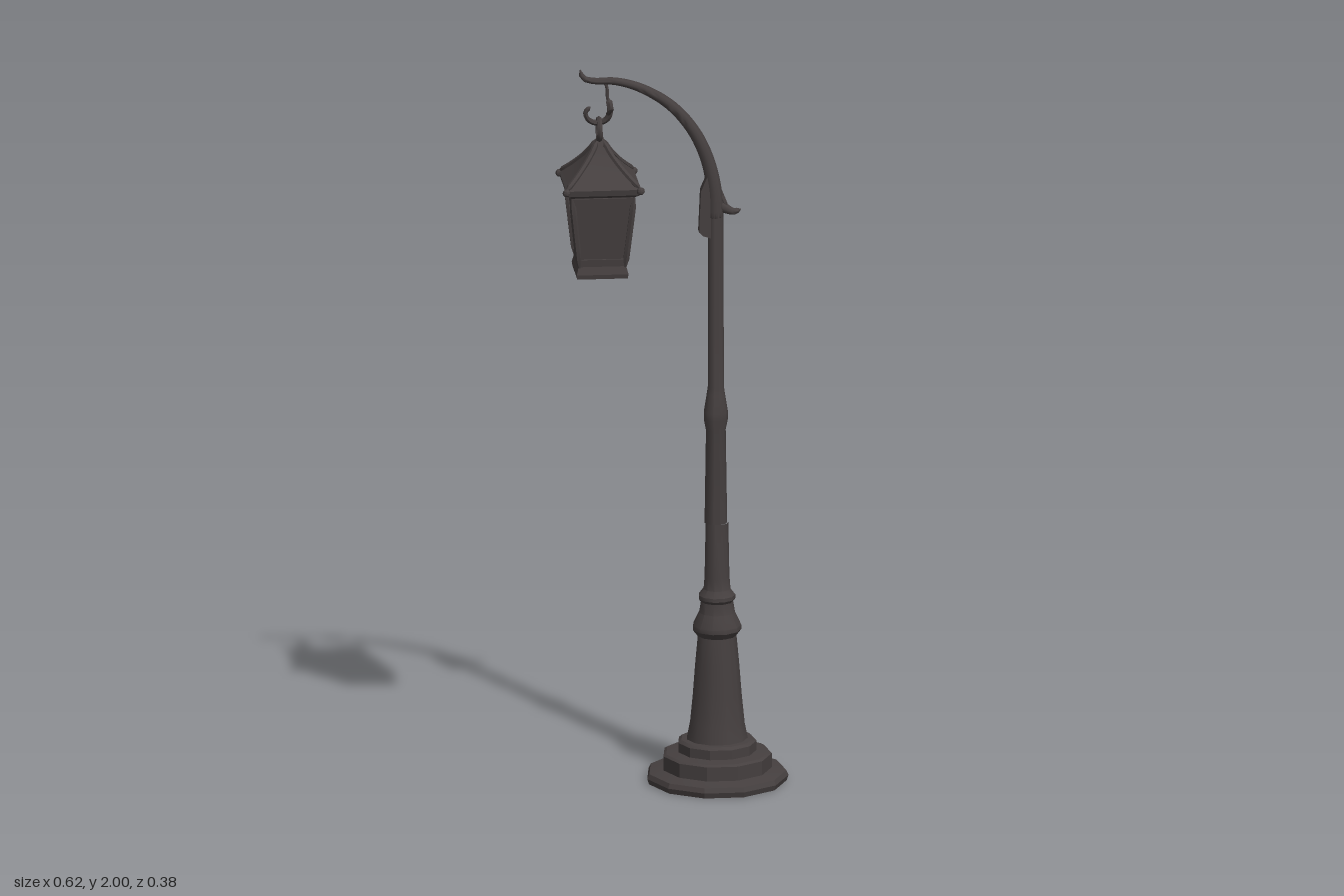
import * as THREE from 'three';
import { toCreasedNormals } from 'three/addons/utils/BufferGeometryUtils.js';

const iron = new THREE.MeshStandardMaterial({ color: 0x453f3f });
iron.name = 'dark iron';

const V = (x, y, z = 0) => new THREE.Vector3(x, y, z);

function add(parent, name, geometry, crease = 0.4) {
  const mesh = new THREE.Mesh(toCreasedNormals(geometry, crease), iron);
  mesh.name = name;
  parent.add(mesh);
  return mesh;
}

// Solid of revolution with a visible number of sides
function turned(profile, sides, start = 0) {
  return new THREE.LatheGeometry(profile.map(([r, y]) => new THREE.Vector2(r, y)), sides, start);
}

// Tube along a curve whose radius follows radiusAt(t); ends are pinched closed
function taperedTube(points, radiusAt, segments = 16, sides = 8) {
  const curve = new THREE.CatmullRomCurve3(points);
  const geo = new THREE.TubeGeometry(curve, segments, 1, sides);
  const pos = geo.attributes.position;
  const p = new THREE.Vector3();
  for (let i = 0; i <= segments; i++) {
    const t = i / segments;
    const c = curve.getPointAt(t);
    const r = i === 0 || i === segments ? 0.0008 : radiusAt(t);
    for (let j = 0; j <= sides; j++) {
      const k = i * (sides + 1) + j;
      p.fromBufferAttribute(pos, k).sub(c).multiplyScalar(r).add(c);
      pos.setXYZ(k, p.x, p.y, p.z);
    }
  }
  return geo;
}

function createPost() {
  const post = new THREE.Group();
  post.name = 'post';
  post.position.x = 0.115;
  // Stepped foot
  add(post, 'foot', turned([
    [0, 0], [0.188, 0], [0.193, 0.015], [0.187, 0.028], [0.148, 0.036],
    [0.148, 0.075], [0.14, 0.08], [0.107, 0.084], [0.107, 0.11], [0.098, 0.117], [0.075, 0.119],
  ], 11, 0.3));
  // Flared pedestal with collars
  add(post, 'pedestal', turned([
    [0.084, 0.115], [0.075, 0.16], [0.067, 0.24], [0.06, 0.33], [0.053, 0.405],
    [0.066, 0.422], [0.066, 0.434], [0.049, 0.47], [0.044, 0.5], [0.05, 0.508],
    [0.05, 0.518], [0.037, 0.535], [0.034, 0.57], [0.031, 0.72],
  ], 11, 0.3), 0.6);
  // Slim shaft with a middle collar
  const shaft = add(post, 'shaft', turned([
    [0.031, 0.72], [0.027, 0.98], [0.033, 1.01], [0.033, 1.03], [0.025, 1.08],
    [0.022, 1.1], [0.021, 1.62],
  ], 11, 0.3), 0.7);
  shaft.position.x = -0.003;
  return post;
}

function createArm() {
  const arm = new THREE.Group();
  arm.name = 'arm';
  // Curved neck ending in an upturned tip
  add(arm, 'curvedNeck', taperedTube([
    V(0.112, 1.56), V(0.108, 1.65), V(0.088, 1.74), V(0.05, 1.82), V(-0.01, 1.89),
    V(-0.09, 1.94), V(-0.16, 1.961), V(-0.215, 1.963), V(-0.246, 1.972), V(-0.254, 1.996),
  ], (t) => 0.022 - 0.015 * t ** 1.3, 40, 10), 1);
  // Back plate on the lantern side
  const plate = new THREE.Shape([
    [0.066, 1.535], [0.076, 1.525], [0.105, 1.515], [0.12, 1.6],
    [0.105, 1.7], [0.088, 1.69], [0.071, 1.65],
  ].map(([x, y]) => new THREE.Vector2(x, y)));
  const plateGeo = new THREE.ExtrudeGeometry(plate, { depth: 0.03, bevelEnabled: false });
  plateGeo.translate(0, 0, -0.015);
  add(arm, 'bracketPlate', plateGeo);
  // Small spur on the other side
  add(arm, 'spur', taperedTube([
    V(0.115, 1.61), V(0.138, 1.597), V(0.16, 1.588), V(0.18, 1.594),
  ], (t) => 0.018 - 0.012 * t, 8, 8), 1);
  add(arm, 'spurLeaf', taperedTube([
    V(0.118, 1.655), V(0.128, 1.63), V(0.14, 1.6),
  ], () => 0.009, 6, 6), 1);
  return arm;
}

function createHook() {
  const hook = new THREE.Group();
  hook.name = 'hook';
  add(hook, 'hangingWire', taperedTube([
    V(-0.19, 1.965), V(-0.182, 1.945), V(-0.18, 1.915), V(-0.176, 1.9),
  ], () => 0.005, 8, 6), 1);
  // Open hook
  add(hook, 'openHook', taperedTube([
    V(-0.178, 1.915, 0.008), V(-0.174, 1.885, 0.012), V(-0.182, 1.858, 0.006), V(-0.207, 1.846),
    V(-0.232, 1.857, 0.008), V(-0.241, 1.88, 0.014), V(-0.228, 1.897, 0.018),
  ], (t) => 0.01 - 0.004 * t, 20, 6), 1);
  add(hook, 'hookBarb', taperedTube([
    V(-0.18, 1.87, 0.008), V(-0.175, 1.885, 0.026), V(-0.168, 1.896, 0.046),
  ], (t) => 0.008 - 0.005 * t, 6, 6), 1);
  // Ring that carries the lantern
  const ring = add(hook, 'ring', new THREE.TorusGeometry(0.028, 0.0075, 6, 14), 1);
  ring.rotation.y = Math.PI / 2;
  ring.position.set(-0.203, 1.828, 0);
  return hook;
}

// Four-sided solid from [half width, height] pairs
function square(profile) {
  return turned(profile.map(([h, y]) => [h * Math.SQRT2, y]), 4, Math.PI / 4);
}

function createLantern() {
  const lantern = new THREE.Group();
  lantern.name = 'lantern';
  lantern.position.x = -0.2;
  // Stem and concave roof
  const stem = add(lantern, 'stem', new THREE.CylinderGeometry(0.007, 0.012, 0.05, 8), 1);
  stem.position.y = 1.795;
  add(lantern, 'roof', square([
    [0, 1.66], [0.086, 1.66], [0.098, 1.668], [0.101, 1.684], [0.072, 1.711],
    [0.042, 1.744], [0.02, 1.775], [0.008, 1.802], [0, 1.803],
  ]), 0.35);
  // Tapering panes, sill and floor
  add(lantern, 'panes', square([[0.06, 1.455], [0.082, 1.662]]));
  add(lantern, 'sill', square([
    [0, 1.428], [0.068, 1.428], [0.07, 1.44], [0.064, 1.462], [0.056, 1.463],
  ]));
  for (let i = 0; i < 4; i++) {
    const side = new THREE.Group();
    side.name = 'lanternSide';
    side.rotation.y = i * Math.PI / 2;
    lantern.add(side);
    // Corner post, roof rib and rounded eave corner
    add(side, 'cornerPost', taperedTube([
      V(0.06, 1.445, 0.06), V(0.0725, 1.555, 0.0725), V(0.085, 1.67, 0.085),
    ], () => 0.009, 6, 6), 1);
    add(side, 'roofRib', taperedTube([
      V(0.008, 1.8, 0.008), V(0.02, 1.775, 0.02), V(0.042, 1.744, 0.042),
      V(0.072, 1.711, 0.072), V(0.102, 1.684, 0.102),
    ], () => 0.008, 10, 6), 1);
    const knob = add(side, 'eaveCorner', new THREE.SphereGeometry(0.011, 8, 6), 1);
    knob.position.set(0.1, 1.68, 0.1);
    // Top and bottom rails of the frame
    for (const [y, h] of [[1.648, 0.081], [1.472, 0.062]]) {
      const rail = add(side, 'frameRail', new THREE.BoxGeometry(h * 2, 0.02, 0.008));
      rail.position.set(0, y, h);
      rail.rotation.x = 0.106;
    }
  }
  return lantern;
}

export function createModel() {
  const model = new THREE.Group();
  model.name = 'streetLamp';
  model.add(createPost(), createArm(), createHook(), createLantern());
  return model;
}
